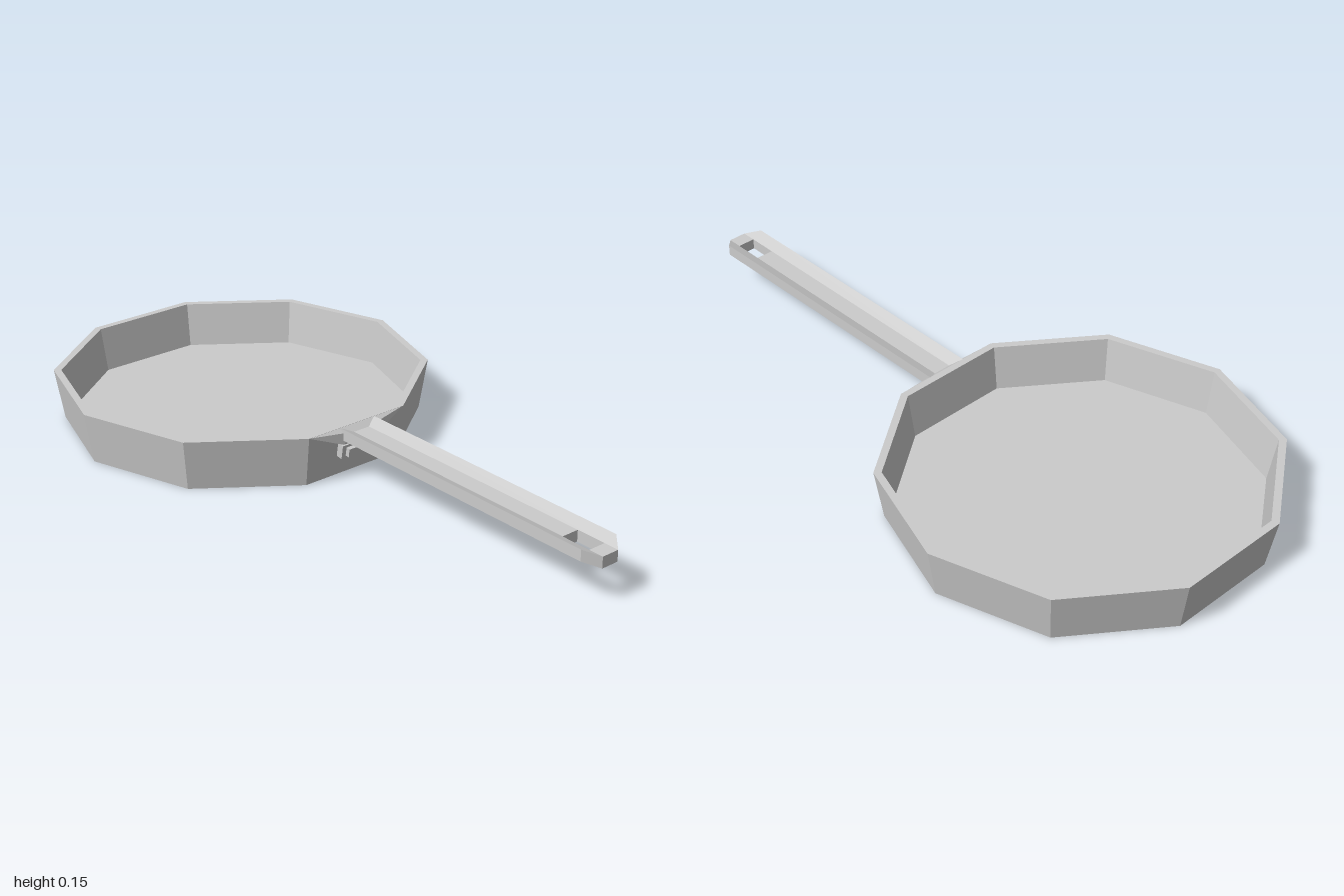
import * as THREE from 'three';
import { ConvexGeometry } from 'three/addons/geometries/ConvexGeometry.js';

const material = new THREE.MeshStandardMaterial({ color: 0xcccccc, flatShading: true });

function addPart(parent, name, geometry, x = 0, y = 0, z = 0) {
  const mesh = new THREE.Mesh(geometry, material);
  mesh.name = name;
  mesh.position.set(x, y, z);
  parent.add(mesh);
  return mesh;
}

// Handle slab from a plan outline of [x, z] points; its edges rise to form a shallow trough
const CORE = 0.027, HALF = 0.062;
function handleSlab(outline) {
  const shape = new THREE.Shape(outline.map(([x, z]) => new THREE.Vector2(x, -z)));
  const geometry = new THREE.ExtrudeGeometry(shape, { depth: 1, bevelEnabled: false });
  geometry.rotateX(-Math.PI / 2);
  const p = geometry.attributes.position;
  for (let i = 0; i < p.count; i++) {
    const rise = Math.max(0, (Math.abs(p.getX(i)) - CORE) / (HALF - CORE));
    p.setY(i, p.getY(i) > 0.5 ? 0.137 + 0.015 * rise : 0.104 + 0.015 * rise);
  }
  geometry.computeVertexNormals();
  return geometry;
}

export function createModel() {
  const model = new THREE.Group();
  model.name = 'fryingPan';

  // Ten-sided pan with flared walls, flat rim and floor
  const profile = [[0, 0], [0.528, 0], [0.553, 0.152], [0.531, 0.152], [0.51, 0.02], [0, 0.02]]
    .map(([r, y]) => new THREE.Vector2(r, y));
  addPart(model, 'panBody', new THREE.LatheGeometry(profile, 10, Math.PI / 2), 0, 0, -0.475);

  // Handle: two raised flanks and a core split by the hanging hole
  const handle = new THREE.Group();
  handle.name = 'handle';
  model.add(handle);
  const start = 0.05;
  for (const s of [1, -1]) {
    addPart(handle, s > 0 ? 'leftFlank' : 'rightFlank', handleSlab(
      [[s * CORE, start], [s * HALF, start], [s * HALF, 0.96], [s * CORE, 1]]));
  }
  for (const [name, z0, z1] of [['handleCore', start, 0.865], ['handleTip', 0.955, 1]]) {
    addPart(handle, name, handleSlab([[-CORE, z0], [CORE, z0], [CORE, z1], [-CORE, z1]]));
  }

  // Wedge spreading from the handle to the corners of the front wall
  const wedge = [];
  for (const s of [1, -1]) {
    wedge.push(
      new THREE.Vector3(s * 0.171, 0.152, 0.05),
      new THREE.Vector3(s * HALF, 0.15, 0.053),
      new THREE.Vector3(s * CORE, 0.137, 0.07),
      new THREE.Vector3(s * HALF, 0.107, 0.068),
      new THREE.Vector3(s * HALF, 0.105, 0.04));
  }
  addPart(model, 'handleFlare', new ConvexGeometry(wedge));

  // Bracket following the wall slope, with two square rivets
  const bracket = new THREE.Group();
  bracket.name = 'bracket';
  bracket.position.set(0, 0.082, 0.047);
  bracket.rotation.x = 0.155;
  model.add(bracket);
  addPart(bracket, 'bracketPlate', new THREE.BoxGeometry(2 * HALF, 0.042, 0.028));
  for (const s of [1, -1]) {
    addPart(bracket, s > 0 ? 'leftRivet' : 'rightRivet',
      new THREE.BoxGeometry(0.026, 0.026, 0.026), s * 0.035, 0, 0.014);
  }

  return model;
}
